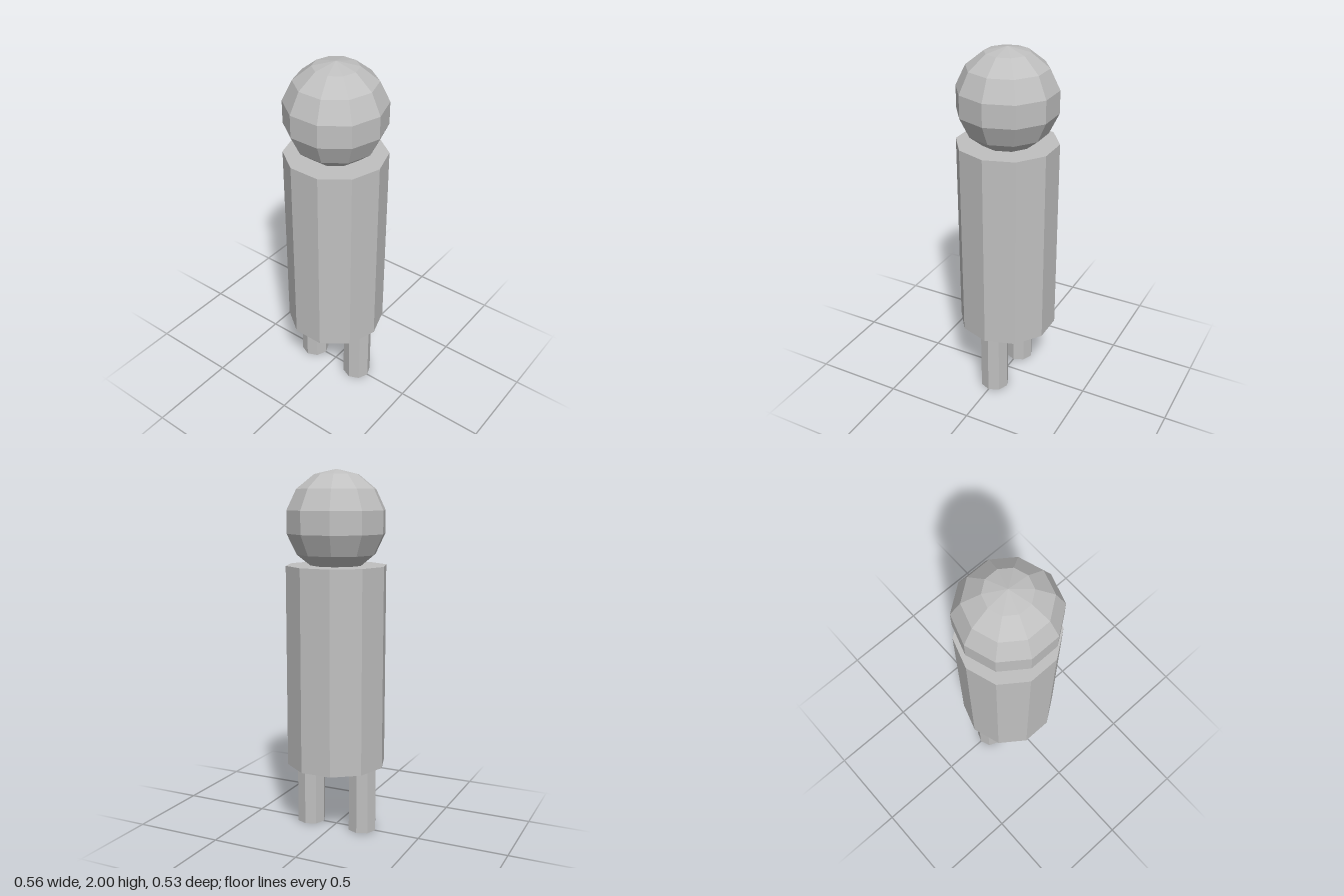
import * as THREE from 'three';

export function createModel() {
  const model = new THREE.Group();
  const grey = new THREE.MeshStandardMaterial({ color: 0xc0c0c0 });
  grey.name = 'plain grey';
  grey.flatShading = true;

  const add = (name, geometry, x, y) => {
    const mesh = new THREE.Mesh(geometry, grey);
    mesh.name = name;
    mesh.position.set(x, y, 0);
    model.add(mesh);
  };

  // Upright prism with a corner pointing along x
  const prism = (radius, height, sides) =>
    new THREE.CylinderGeometry(radius, radius, height, sides, 1, false, Math.PI / 2);

  const radius = 0.278;
  const legHeight = 0.375;
  const bodyHeight = 1.115;

  // Faceted ball head, sunk slightly into the body
  add('head', new THREE.SphereGeometry(radius, 10, 7), 0, 2 - radius);

  // Ten-sided body
  add('body', prism(radius, bodyHeight, 10), 0, legHeight + bodyHeight / 2);

  // Eight-sided legs
  for (const [name, side] of [['leftLeg', 1], ['rightLeg', -1]]) {
    add(name, prism(0.081, legHeight, 8), side * 0.161, legHeight / 2);
  }

  return model;
}
